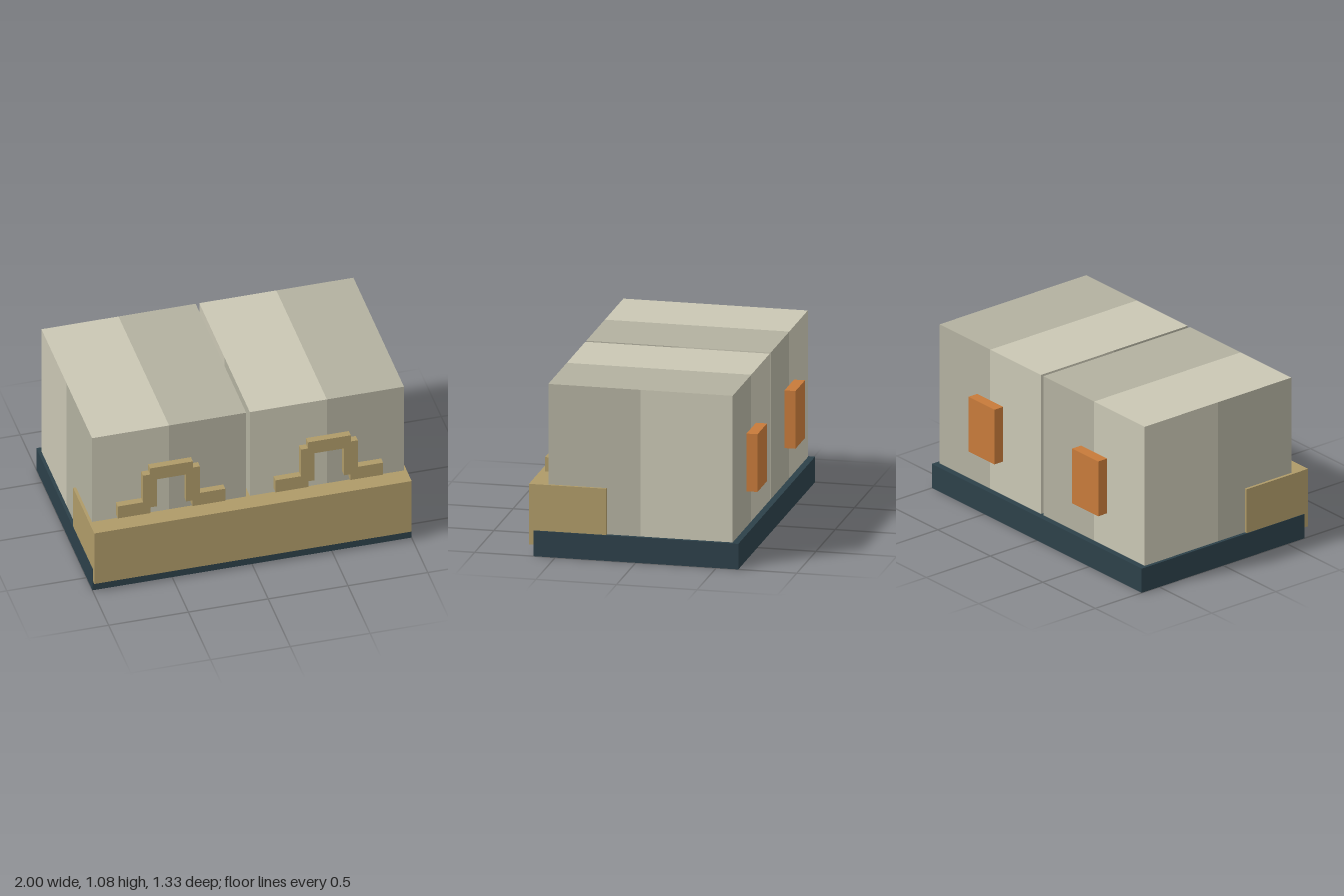
import * as THREE from 'three';

const material = (name, color) => {
  const m = new THREE.MeshStandardMaterial({ color });
  m.name = name;
  return m;
};

// Box given by its minimum and maximum corners
function box(name, mat, [x0, y0, z0], [x1, y1, z1]) {
  const mesh = new THREE.Mesh(new THREE.BoxGeometry(x1 - x0, y1 - y0, z1 - z0), mat);
  mesh.position.set((x0 + x1) / 2, (y0 + y1) / 2, (z0 + z1) / 2);
  mesh.name = name;
  return mesh;
}

// Box with every face halved into a light and a dark band:
// split across x on front, back, top and bottom, across z on the sides
function twoToneBox(w, h, d) {
  const geo = new THREE.BoxGeometry(w, h, d, 2, 1, 2).toNonIndexed();
  geo.clearGroups();
  const p = geo.attributes.position, n = geo.attributes.normal;
  for (let i = 0; i < p.count; i += 3) {
    const cx = p.getX(i) + p.getX(i + 1) + p.getX(i + 2);
    const cz = p.getZ(i) + p.getZ(i + 1) + p.getZ(i + 2);
    const dark = Math.abs(n.getX(i)) > 0.5 ? cz > 0 : cx > 0;
    geo.addGroup(i, 3, dark ? 1 : 0);
  }
  return geo;
}

// Stepped arch with feet, mirrored from its right half
function archGeometry(depth) {
  const half = [
    [0.092, 0.733], [0.092, 0.53], [0.131, 0.53], [0.131, 0.487], [0.337, 0.487],
    [0.337, 0.577], [0.178, 0.577], [0.178, 0.777], [0.134, 0.777], [0.134, 0.823],
  ];
  const mirrored = half.map(([x, y]) => [-x, y]).reverse();
  const outline = [...half, ...mirrored].map(([x, y]) => new THREE.Vector2(x, y));
  return new THREE.ExtrudeGeometry(new THREE.Shape(outline), { depth, bevelEnabled: false });
}

export function createModel() {
  const navy = material('navy', 0x2c4049);
  const tan = material('tan', 0xae9a68);
  const orange = material('orange', 0xc67a3a);
  const paleStone = material('paleStone', 0xc9c6b3);
  const greyStone = material('greyStone', 0xb2b09f);

  const model = new THREE.Group();
  model.name = 'twinBlocks';
  model.add(
    box('base', navy, [-1, 0, -0.637], [1, 0.16, 0.633]),
    box('frontPanel', tan, [-0.997, 0.07, 0.185], [0.992, 0.45, 0.665]),
  );

  // Two blocks, each with an arch on the front and a plate on the back
  const blockGeo = twoToneBox(0.966, 0.92, 1.145);
  const archGeo = archGeometry(0.045);
  for (const [side, x] of [['right', -0.496], ['left', 0.493]]) {
    const block = new THREE.Mesh(blockGeo, [paleStone, greyStone]);
    block.name = side + 'Block';
    block.position.set(x, 0.62, -0.024);

    const arch = new THREE.Mesh(archGeo, tan);
    arch.name = side + 'Arch';
    arch.position.set(x, 0, 0.559);

    const plate = box(side + 'BackPlate', orange,
      [x - 0.124, 0.383, -0.665], [x + 0.124, 0.745, -0.594]);
    model.add(block, arch, plate);
  }
  return model;
}
